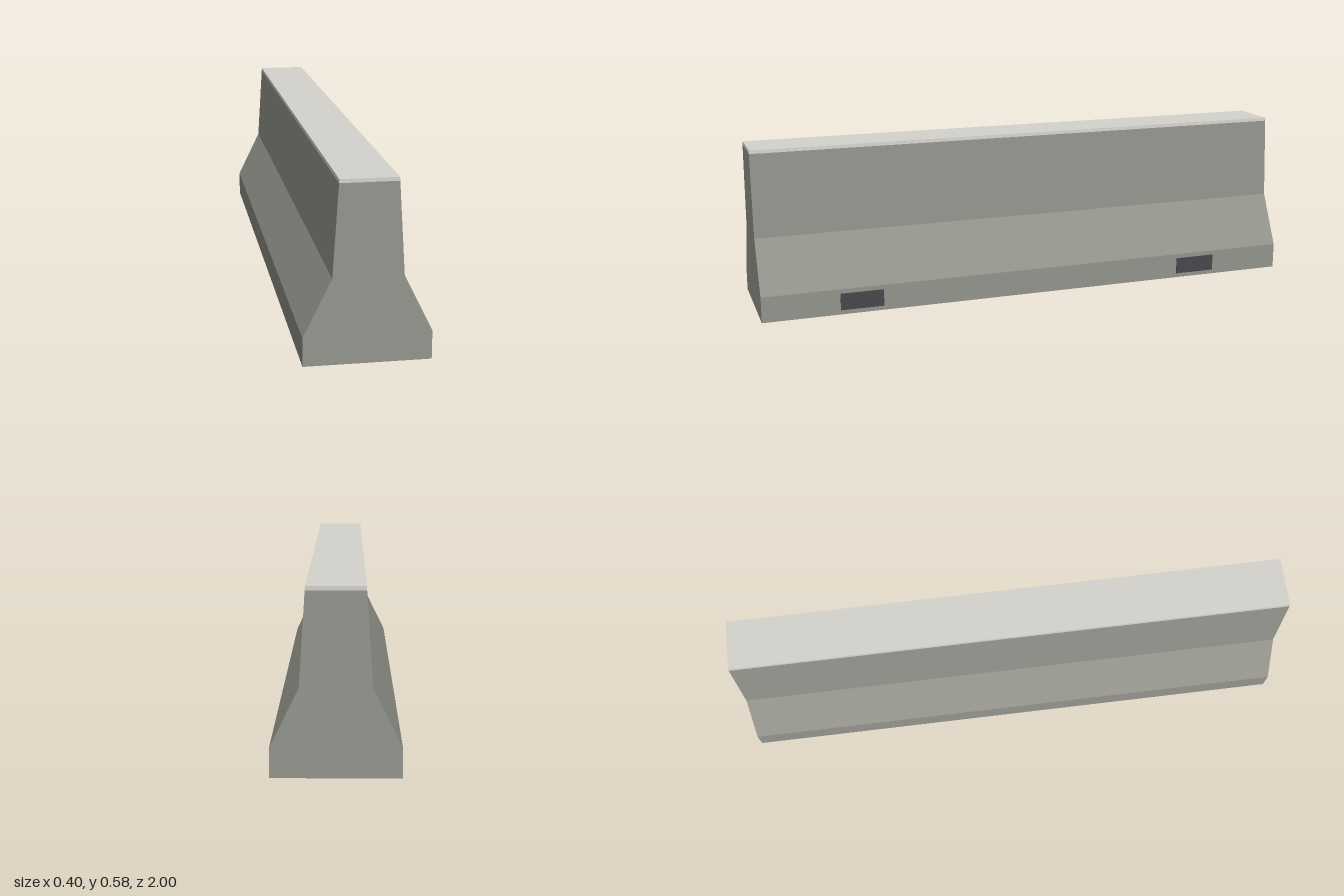
import * as THREE from 'three';

const LENGTH = 2;
const CENTRE_X = -0.002; // body sits slightly off centre because of the slots on its left

// Extrudes a symmetric profile, given as [half width, height] pairs going up, along z
function extrudeProfile(name, steps, material) {
  const right = steps.map(([w, y]) => new THREE.Vector2(w, y));
  const left = steps.map(([w, y]) => new THREE.Vector2(-w, y)).reverse();
  const geometry = new THREE.ExtrudeGeometry(new THREE.Shape([...right, ...left]), {
    depth: LENGTH, bevelEnabled: false,
  });
  geometry.translate(CENTRE_X, 0, -LENGTH / 2);
  const mesh = new THREE.Mesh(geometry, material);
  mesh.name = name;
  return mesh;
}

export function createModel() {
  const concrete = new THREE.MeshStandardMaterial({ color: 0x94958d });
  concrete.name = 'concrete';
  const paleConcrete = new THREE.MeshStandardMaterial({ color: 0xd4d3ce });
  paleConcrete.name = 'paleConcrete';
  const darkSlot = new THREE.MeshStandardMaterial({ color: 0x49484d });
  darkSlot.name = 'darkSlot';

  const group = new THREE.Group();
  group.name = 'roadBarrier';

  // Body: upright foot, sloped shoulder, tapering wall
  group.add(extrudeProfile('barrierBody',
    [[0.2, 0], [0.2, 0.092], [0.11, 0.276], [0.0908, 0.568]], concrete));

  // Thin pale cap continuing the taper
  group.add(extrudeProfile('topCap', [[0.0908, 0.568], [0.09, 0.58]], paleConcrete));

  // Drainage slots on the left foot only
  for (const [name, z] of [['frontDrainSlot', 0.65], ['backDrainSlot', -0.65]]) {
    const slot = new THREE.Mesh(new THREE.BoxGeometry(0.006, 0.06, 0.154), darkSlot);
    slot.name = name;
    slot.position.set(0.198, 0.046, z);
    group.add(slot);
  }
  return group;
}
